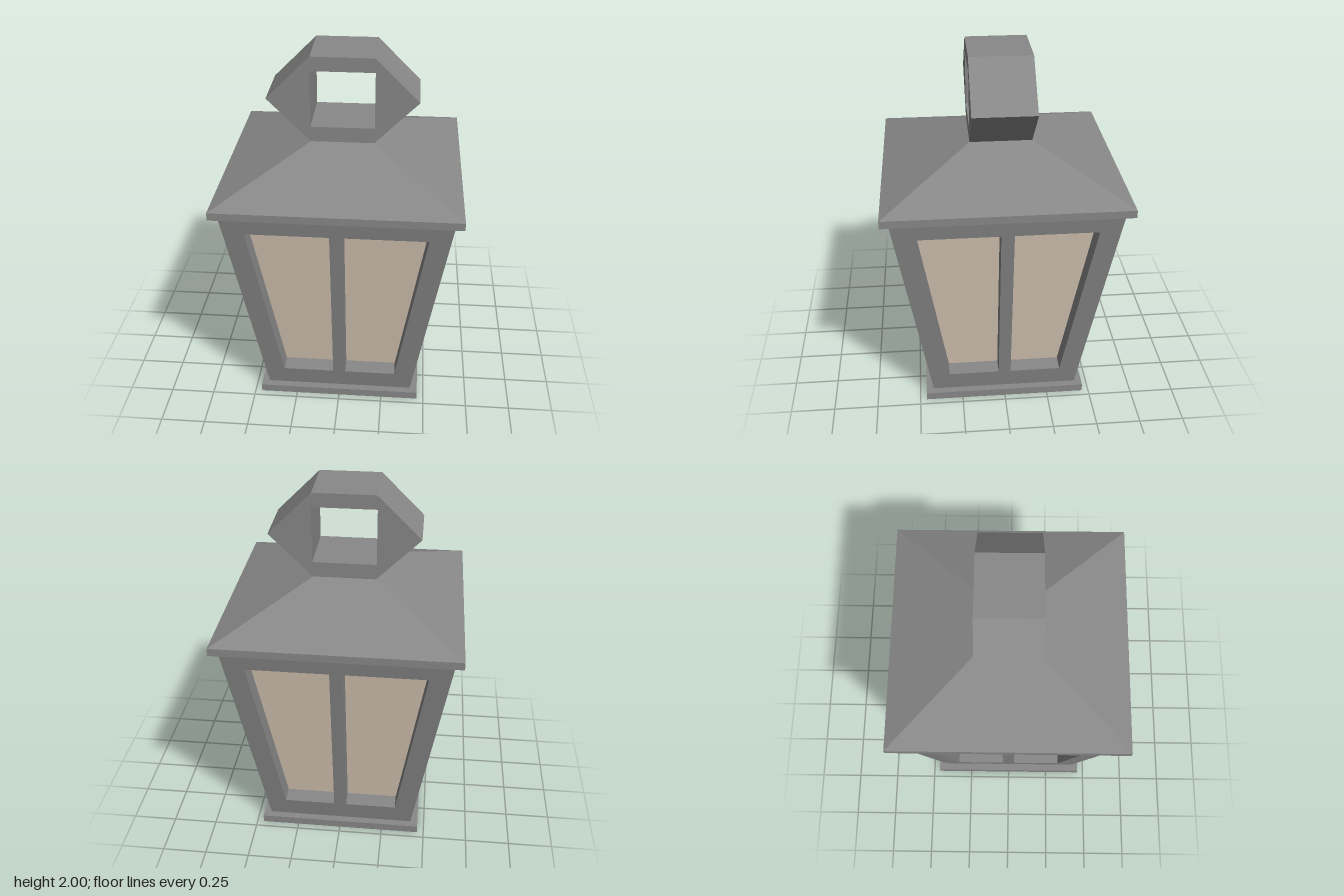
import * as THREE from 'three';

const metal = new THREE.MeshStandardMaterial({ color: 0x888888, flatShading: true });
const glass = new THREE.MeshStandardMaterial({ color: 0xd8cab6, flatShading: true, side: THREE.DoubleSide });

const BOTTOM = 0.045, TOP = 1.29, DEPTH = 0.1;
// half width of the flared body at height y
const half = (y) => 0.42 + (0.19 * (y - BOTTOM)) / (TOP - BOTTOM);

const v = (x, y) => new THREE.Vector2(x, y);

function part(name, geometry, material = metal, y = 0) {
  const mesh = new THREE.Mesh(geometry, material);
  mesh.name = name;
  mesh.position.y = y;
  return mesh;
}

// window opening on one side of the mullion (s = 1 or -1)
const opening = (s) => [v(s * 0.035, 0.16), v(s * 0.325, 0.16), v(s * 0.48, 1.18), v(s * 0.035, 1.18)];

// lean a wall geometry (z from -DEPTH to 0) outwards and mitre its back corners
function lean(geometry) {
  const p = geometry.attributes.position;
  for (let i = 0; i < p.count; i++) {
    const x = p.getX(i), y = p.getY(i), z = p.getZ(i);
    if (Math.abs(x) > half(y) - 0.001) p.setX(i, x + Math.sign(x) * z);
    p.setZ(i, z + half(y));
  }
  geometry.computeVertexNormals();
  return geometry;
}

function createWall() {
  const wall = new THREE.Group();
  wall.name = 'wall';
  const a = half(BOTTOM), b = half(TOP);
  const outline = new THREE.Shape([v(-a, BOTTOM), v(a, BOTTOM), v(b, TOP), v(-b, TOP)]);
  for (const s of [-1, 1]) {
    outline.holes.push(new THREE.Path(opening(s)));
    const pane = new THREE.ShapeGeometry(new THREE.Shape(opening(s)));
    wall.add(part('windowPane', lean(pane.translate(0, 0, -DEPTH)), glass));
  }
  const frame = new THREE.ExtrudeGeometry(outline, { depth: DEPTH, bevelEnabled: false });
  wall.add(part('windowFrame', lean(frame.translate(0, 0, -DEPTH))));
  return wall;
}

export function createModel() {
  const model = new THREE.Group();
  model.name = 'lantern';

  // base plate
  model.add(part('base', new THREE.BoxGeometry(0.924, BOTTOM, 0.924), metal, BOTTOM / 2));

  // four leaning walls with recessed panes
  for (let i = 0; i < 4; i++) {
    const wall = createWall();
    wall.rotation.y = (i * Math.PI) / 2;
    model.add(wall);
  }

  // eaves slab and hipped roof
  model.add(part('eaves', new THREE.BoxGeometry(1.304, 0.042, 1.304), metal, 1.311));
  const roof = new THREE.CylinderGeometry(0.17 * Math.SQRT2, 0.652 * Math.SQRT2, 0.193, 4);
  model.add(part('roof', roof.rotateY(Math.PI / 4), metal, 1.4285));

  // hexagonal carrying handle with a square hole
  const handle = new THREE.Shape([
    v(-0.17, 1.525), v(0.17, 1.525), v(0.407, 1.763), v(0.17, 2), v(-0.17, 2), v(-0.407, 1.763),
  ]);
  handle.holes.push(new THREE.Path([v(-0.172, 1.61), v(-0.172, 1.922), v(0.172, 1.922), v(0.172, 1.61)]));
  const handleGeometry = new THREE.ExtrudeGeometry(handle, { depth: 0.34, bevelEnabled: false });
  model.add(part('handle', handleGeometry.translate(0, 0, -0.17)));

  return model;
}
